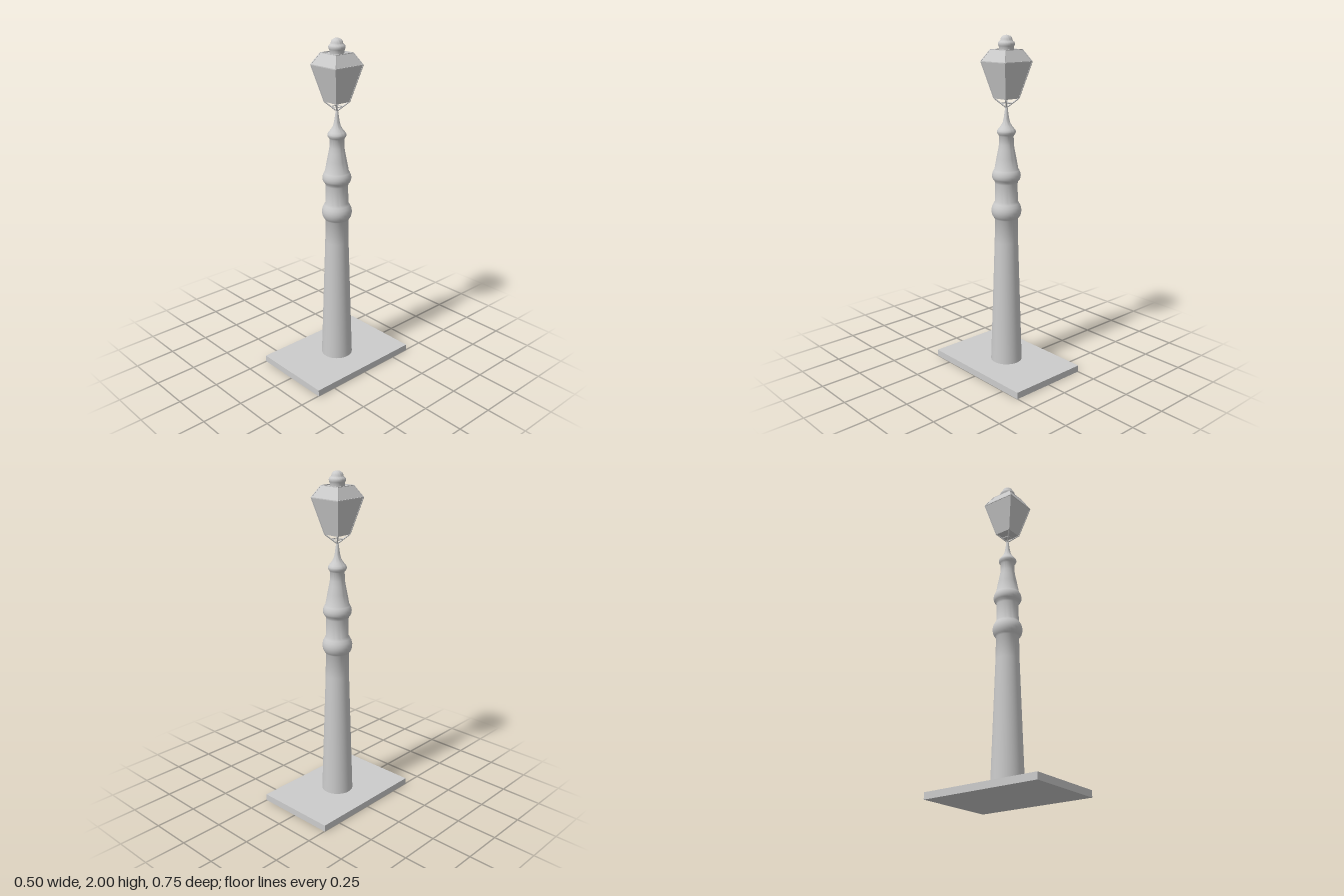
import * as THREE from 'three';
import { toCreasedNormals } from 'three/addons/utils/BufferGeometryUtils.js';

export function createModel() {
  const group = new THREE.Group();
  const material = new THREE.MeshStandardMaterial({ color: 0xcccccc, side: THREE.DoubleSide });

  function add(name, geometry, y = 0, parent = group) {
    const mesh = new THREE.Mesh(geometry, material);
    mesh.name = name;
    mesh.position.y = y;
    parent.add(mesh);
    return mesh;
  }

  function lathe(points) {
    const profile = points.map(([r, y]) => new THREE.Vector2(r, y));
    return toCreasedNormals(new THREE.LatheGeometry(profile, 40), 0.7);
  }

  // Four-sided frustum aligned with the axes, sizes given as half widths
  function frustum(bottom, top, height, open = false) {
    const g = new THREE.CylinderGeometry(top * Math.SQRT2, bottom * Math.SQRT2, height, 4, 1, open);
    return toCreasedNormals(g.rotateY(Math.PI / 4), 0.3);
  }

  // Square bar between two points
  function bar(a, b, width) {
    const dir = b.clone().sub(a);
    const g = new THREE.BoxGeometry(width, dir.length(), width);
    g.applyQuaternion(new THREE.Quaternion().setFromUnitVectors(new THREE.Vector3(0, 1, 0), dir.normalize()));
    return g.translate((a.x + b.x) / 2, (a.y + b.y) / 2, (a.z + b.z) / 2);
  }

  // Base slab
  add('base', new THREE.BoxGeometry(0.505, 0.04, 0.747), 0.02);

  // Turned post with two rings, a tapered neck and a spike
  add('post', lathe([
    [0, 0.04], [0.095, 0.04], [0.07, 0.8], [0.068, 0.94],
    [0.075, 0.95], [0.084, 0.965], [0.088, 0.985], [0.088, 1.0], [0.084, 1.018], [0.075, 1.035], [0.067, 1.05],
    [0.066, 1.155], [0.069, 1.168], [0.078, 1.178], [0.083, 1.19], [0.084, 1.205], [0.081, 1.22], [0.075, 1.233],
    [0.07, 1.24], [0.058, 1.305], [0.048, 1.355], [0.043, 1.385],
    [0.042, 1.433], [0.048, 1.442], [0.054, 1.453], [0.054, 1.463], [0.047, 1.474],
    [0.034, 1.49], [0.022, 1.51], [0.016, 1.535], [0.012, 1.56], [0.008, 1.59], [0.005, 1.605], [0, 1.608],
  ]));

  // Lantern: glazed box, hipped roof and recessed roof top
  const lantern = new THREE.Group();
  lantern.name = 'lantern';
  group.add(lantern);
  add('lanternBody', frustum(0.05, 0.102, 0.207), 1.7505, lantern);
  add('lanternRoof', frustum(0.102, 0.064, 0.066, true), 1.887, lantern);
  add('roofTop', new THREE.BoxGeometry(0.122, 0.004, 0.122), 1.914, lantern);

  // Frame bars along the corners, and struts holding the lantern
  for (let i = 0; i < 4; i++) {
    const a = Math.PI / 4 + i * Math.PI / 2;
    const corner = (half, y, turn = 0) => new THREE.Vector3(
      half * Math.SQRT2 * Math.cos(a + turn), y, half * Math.SQRT2 * Math.sin(a + turn));
    const next = Math.PI / 2;
    add('cornerBar', bar(corner(0.05, 1.647), corner(0.102, 1.854), 0.005), 0, lantern);
    add('roofBar', bar(corner(0.102, 1.854), corner(0.063, 1.92), 0.005), 0, lantern);
    add('eaveBar', bar(corner(0.102, 1.854), corner(0.102, 1.854, next), 0.005), 0, lantern);
    add('topRim', bar(corner(0.062, 1.919), corner(0.062, 1.919, next), 0.006), 0, lantern);
    add('strut', bar(corner(0.003, 1.598), corner(0.049, 1.648), 0.006), 0, lantern);
    add('strutTie', bar(corner(0.024, 1.621), corner(0.024, 1.621, next), 0.004), 0, lantern);
  }

  // Finial: collar and domed cap
  add('finial', lathe([
    [0, 1.913], [0.041, 1.913], [0.041, 1.932], [0.045, 1.94], [0.048, 1.95], [0.046, 1.96], [0.038, 1.967],
    [0.034, 1.972], [0.033, 1.979], [0.029, 1.988], [0.021, 1.995], [0.011, 1.999], [0, 2],
  ]), 0, lantern);

  return group;
}
